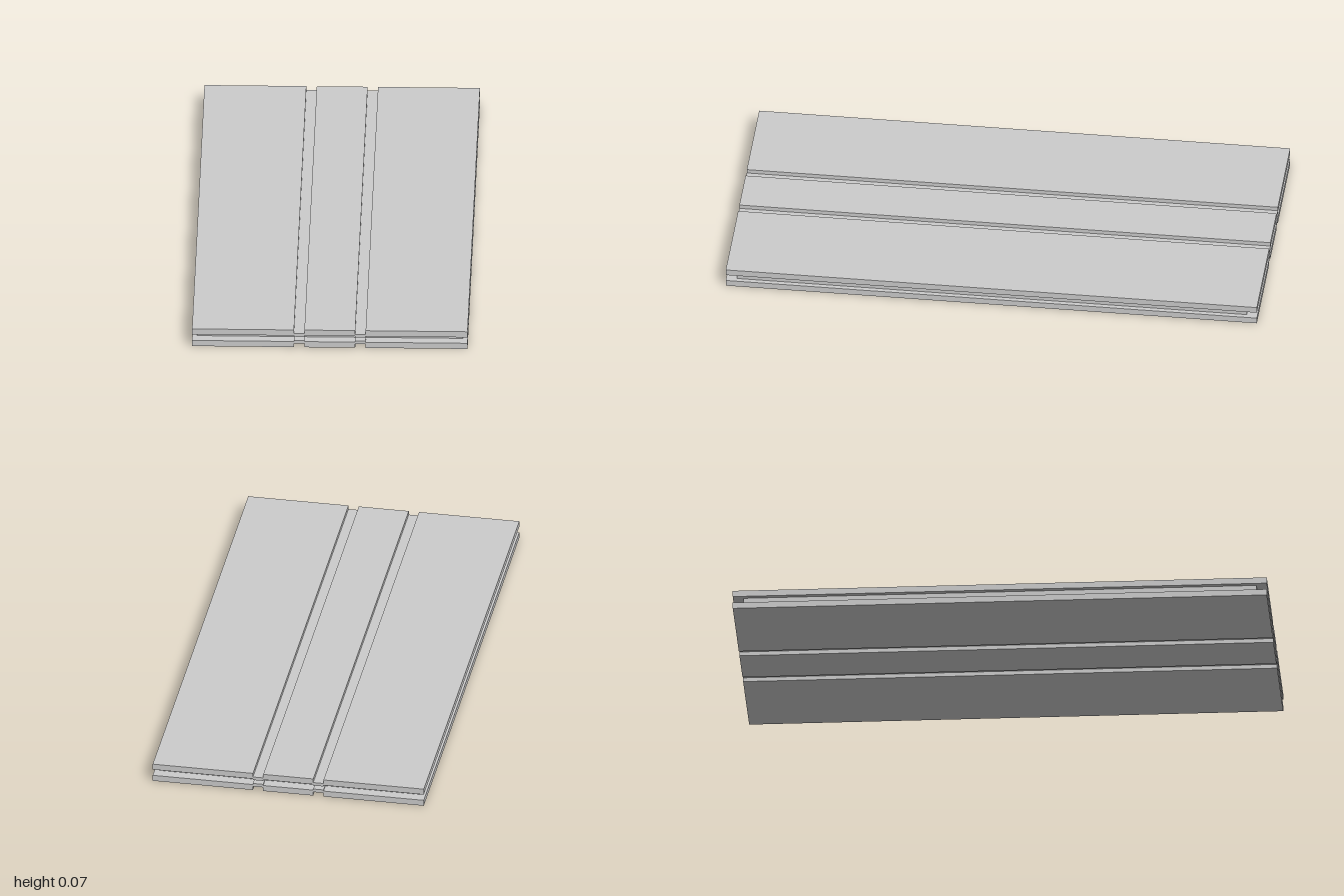
import * as THREE from 'three';

const HEIGHT = 0.072, LENGTH = 2;
const material = new THREE.MeshStandardMaterial({ color: 0xcccccc, flatShading: true });

// Box given by its lower and upper limits in x and y, centred on z
function slab(name, x0, x1, y0, y1, length) {
  const mesh = new THREE.Mesh(new THREE.BoxGeometry(x1 - x0, y1 - y0, length), material);
  mesh.name = name;
  mesh.position.set((x0 + x1) / 2, (y0 + y1) / 2, 0);
  return mesh;
}

// Outer skin: one grooved cross-section, extruded along z
function skin(name) {
  const inner = 0.095, groove = 0.134, edge = 0.515;
  const thick = 0.0235, webLow = 0.0155, webHigh = 0.0285;
  const half = [
    [inner, 0], [inner, webLow], [groove, webLow], [groove, 0], [edge, 0],
    [edge, thick], [groove, thick], [groove, webHigh], [inner, webHigh], [inner, thick],
  ];
  const mirrored = half.map(([x, y]) => [-x, y]).reverse();
  const shape = new THREE.Shape([...half, ...mirrored].map(([x, y]) => new THREE.Vector2(x, y)));
  const geometry = new THREE.ExtrudeGeometry(shape, { depth: LENGTH, bevelEnabled: false });
  geometry.translate(0, 0, -LENGTH / 2);
  const mesh = new THREE.Mesh(geometry, material);
  mesh.name = name;
  return mesh;
}

export function createModel() {
  const model = new THREE.Group();
  model.name = 'groovedPanel';

  // Lower skin, and the same skin turned over on top
  const bottom = skin('bottomSkin');
  const top = skin('topSkin');
  top.rotation.z = Math.PI;
  top.position.y = HEIGHT;

  // Recessed core between the skins
  const core = slab('core', -0.497, 0.497, 0.0235, HEIGHT - 0.0235, 1.92);

  model.add(bottom, top, core);
  return model;
}
